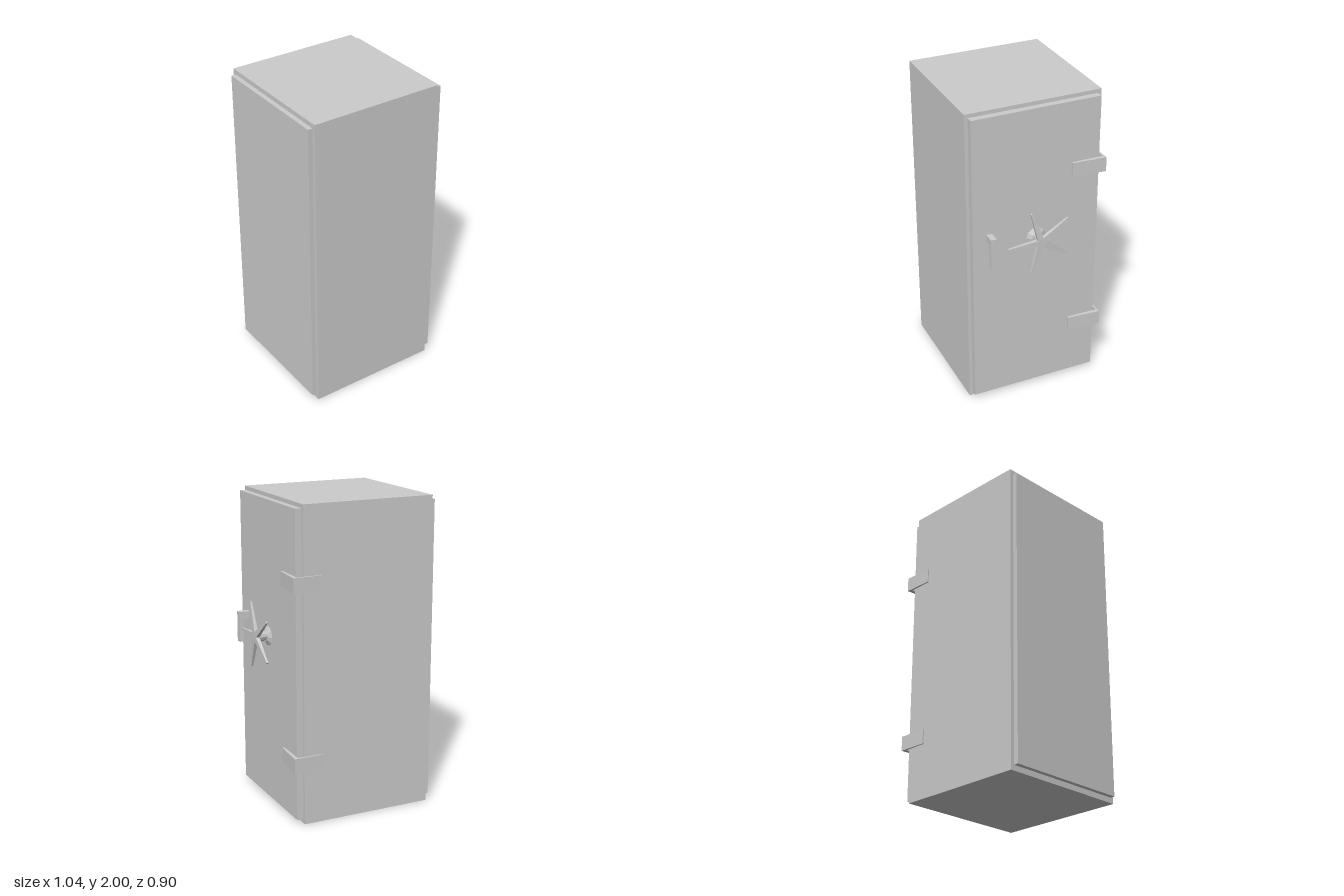
import * as THREE from 'three';

const material = new THREE.MeshStandardMaterial({ color: 0xcccccc, flatShading: true });

function add(parent, name, geometry) {
  const mesh = new THREE.Mesh(geometry, material);
  mesh.name = name;
  parent.add(mesh);
  return mesh;
}

// Box given by its lower and upper corners
function box(parent, name, [x0, y0, z0], [x1, y1, z1]) {
  const g = new THREE.BoxGeometry(x1 - x0, y1 - y0, z1 - z0);
  g.translate((x0 + x1) / 2, (y0 + y1) / 2, (z0 + z1) / 2);
  return add(parent, name, g);
}

// Cone section lying along x
function coneAlongX(parent, name, x0, x1, r0, r1, y, z) {
  const g = new THREE.CylinderGeometry(r1, r0, x1 - x0, 10);
  g.rotateZ(-Math.PI / 2);
  g.translate((x0 + x1) / 2, y, z);
  return add(parent, name, g);
}

// Five-armed wheel whose arms get thinner towards the blunt tips
function starGeometry(radius, valley, tipHalf, thick) {
  const pts = [];
  for (let i = 0; i < 5; i++) {
    const a = Math.PI + (i * Math.PI * 2) / 5;
    const da = tipHalf / radius;
    pts.push(new THREE.Vector2(Math.cos(a - da) * radius, Math.sin(a - da) * radius));
    pts.push(new THREE.Vector2(Math.cos(a + da) * radius, Math.sin(a + da) * radius));
    const v = a + Math.PI / 5;
    pts.push(new THREE.Vector2(Math.cos(v) * valley, Math.sin(v) * valley));
  }
  const g = new THREE.ExtrudeGeometry(new THREE.Shape(pts), { depth: thick, bevelEnabled: false });
  g.translate(0, 0, -thick / 2);
  const p = g.attributes.position;
  for (let i = 0; i < p.count; i++) {
    const r = Math.hypot(p.getX(i), p.getY(i));
    p.setZ(i, p.getZ(i) * (1 - 0.6 * (r / radius)));
  }
  g.rotateY(Math.PI / 2);
  g.computeVertexNormals();
  return g;
}

export function createModel() {
  const model = new THREE.Group();
  model.name = 'safeLocker';

  // Cabinet with the door on one side and a panel on the other
  box(model, 'cabinet', [-0.49, 0, -0.436], [0.38, 2, 0.446]);
  box(model, 'door', [0.38, 0.028, -0.414], [0.422, 1.975, 0.424]);
  box(model, 'backPanel', [-0.52, 0.035, -0.412], [-0.49, 1.97, 0.424]);

  // Wrap-around hinges: plan outline as (x, -z)
  const outline = [
    [0.262, 0.436], [0.424, 0.436], [0.421, 0.23],
    [0.436, 0.23], [0.452, 0.45], [0.262, 0.444],
  ].map(([x, y]) => new THREE.Vector2(x, y));
  for (const [name, y] of [['upperHinge', 1.48], ['lowerHinge', 0.354]]) {
    const g = new THREE.ExtrudeGeometry(new THREE.Shape(outline), { depth: 0.094, bevelEnabled: false });
    g.rotateX(-Math.PI / 2);
    g.translate(0, y, 0);
    add(model, name, g);
  }

  // Lever handle: short arm with a hanging grip
  const handle = new THREE.Group();
  handle.name = 'handle';
  box(handle, 'handleArm', [0.422, 1.16, 0.298], [0.466, 1.208, 0.336]);
  box(handle, 'handleGrip', [0.466, 1.01, 0.298], [0.495, 1.208, 0.336]);
  model.add(handle);

  // Wheel lock: flared base, shaft and star wheel
  const lock = new THREE.Group();
  lock.name = 'wheelLock';
  coneAlongX(lock, 'lockBase', 0.422, 0.44, 0.065, 0.032, 1.115, 0.005);
  coneAlongX(lock, 'lockShaft', 0.438, 0.496, 0.028, 0.04, 1.118, 0.005);
  const wheel = add(lock, 'starWheel', starGeometry(0.222, 0.034, 0.005, 0.028));
  wheel.position.set(0.505, 1.12, 0.008);
  model.add(lock);

  return model;
}
